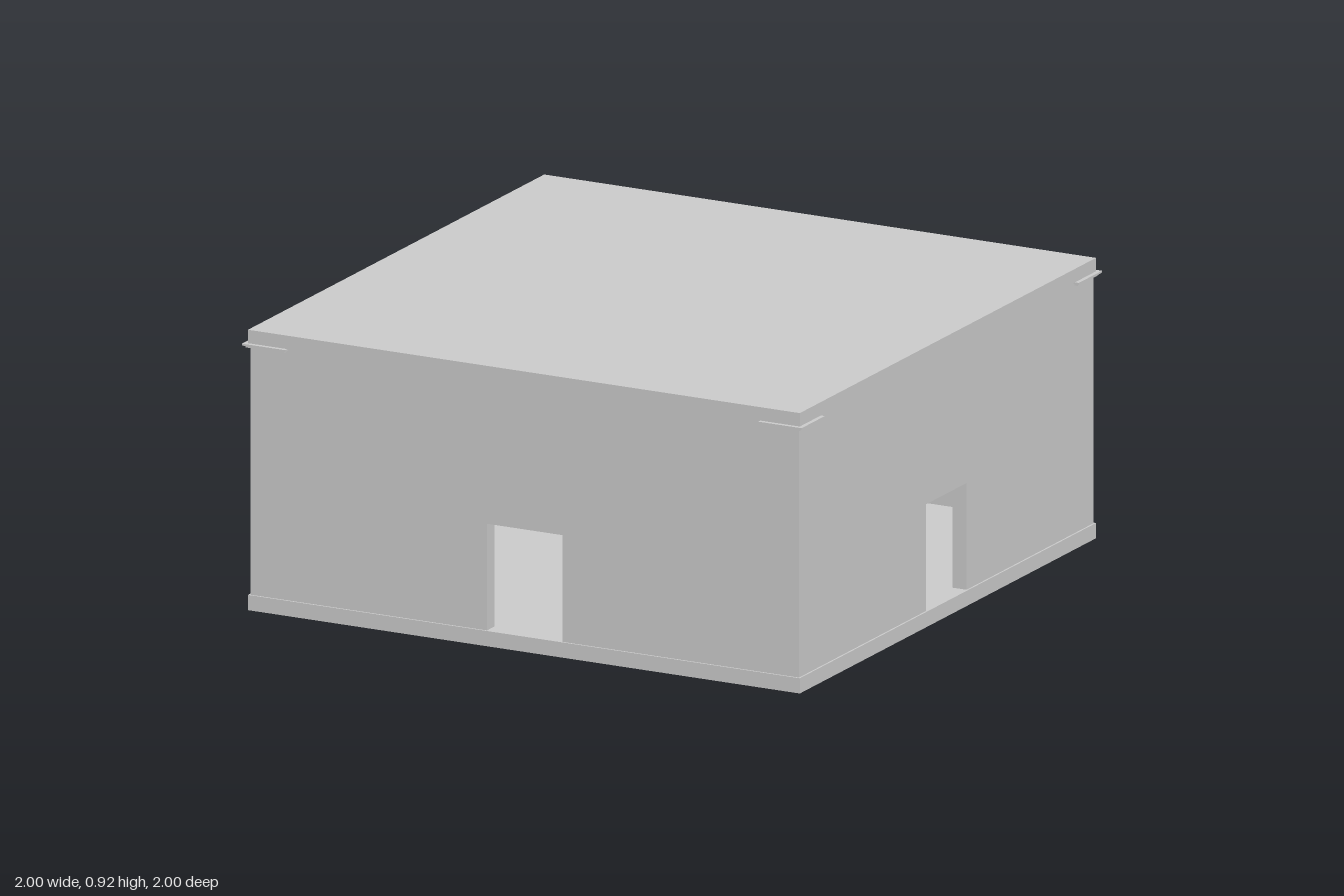
import * as THREE from 'three';

export function createModel() {
  const group = new THREE.Group();
  group.name = 'squareRoom';
  const material = new THREE.MeshStandardMaterial({ color: 0xcccccc, flatShading: true });

  function add(name, geometry, parent = group) {
    const mesh = new THREE.Mesh(geometry, material);
    mesh.name = name;
    parent.add(mesh);
    return mesh;
  }

  function box(name, width, bottom, top) {
    add(name, new THREE.BoxGeometry(width, top - bottom, width)).position.y = (bottom + top) / 2;
  }

  const FLOOR = 0.05, CEILING = 0.875, WALL = 0.98, THICK = 0.05;

  // Floor and roof slabs, slightly proud of the walls
  box('floorSlab', 1.972, 0, FLOOR);
  box('roofSlab', 1.972, CEILING, 0.92);

  // Small block in the middle of the floor
  box('floorBlock', 0.04, FLOOR, 0.07);

  // Wall outline with a doorway notched into its lower edge
  const wallShape = new THREE.Shape([
    [-WALL, FLOOR], [-0.135, FLOOR], [-0.135, 0.4], [0.135, 0.4],
    [0.135, FLOOR], [WALL - THICK, FLOOR], [WALL - THICK, CEILING], [-WALL, CEILING],
  ].map(([x, y]) => new THREE.Vector2(x, y)));
  const wallGeometry = new THREE.ExtrudeGeometry(wallShape, { depth: THICK, bevelEnabled: false });
  wallGeometry.translate(0, 0, WALL - THICK);

  // L-shaped layer of a corner bracket, hugging the outside of one corner
  function bracketLayer(outer, end, bottom, top) {
    const inner = 0.965;
    const shape = new THREE.Shape([
      [outer, -outer], [outer, -end], [inner, -end], [inner, -inner], [end, -inner], [end, -outer],
    ].map(([x, y]) => new THREE.Vector2(x, y)));
    const geometry = new THREE.ExtrudeGeometry(shape, { depth: top - bottom, bevelEnabled: false });
    return geometry.rotateX(-Math.PI / 2).translate(0, bottom, 0);
  }
  const bracketPlate = bracketLayer(1, 0.845, 0.87, 0.876);
  const bracketLip = bracketLayer(0.992, 0.853, 0.863, 0.87);

  // Four identical sides, each a wall and one corner bracket
  ['front', 'left', 'back', 'right'].forEach((side, i) => {
    const sideGroup = new THREE.Group();
    sideGroup.name = side + 'Side';
    sideGroup.rotation.y = i * Math.PI / 2;
    add(side + 'Wall', wallGeometry, sideGroup);
    add('cornerBracketPlate', bracketPlate, sideGroup);
    add('cornerBracketLip', bracketLip, sideGroup);
    group.add(sideGroup);
  });

  return group;
}
